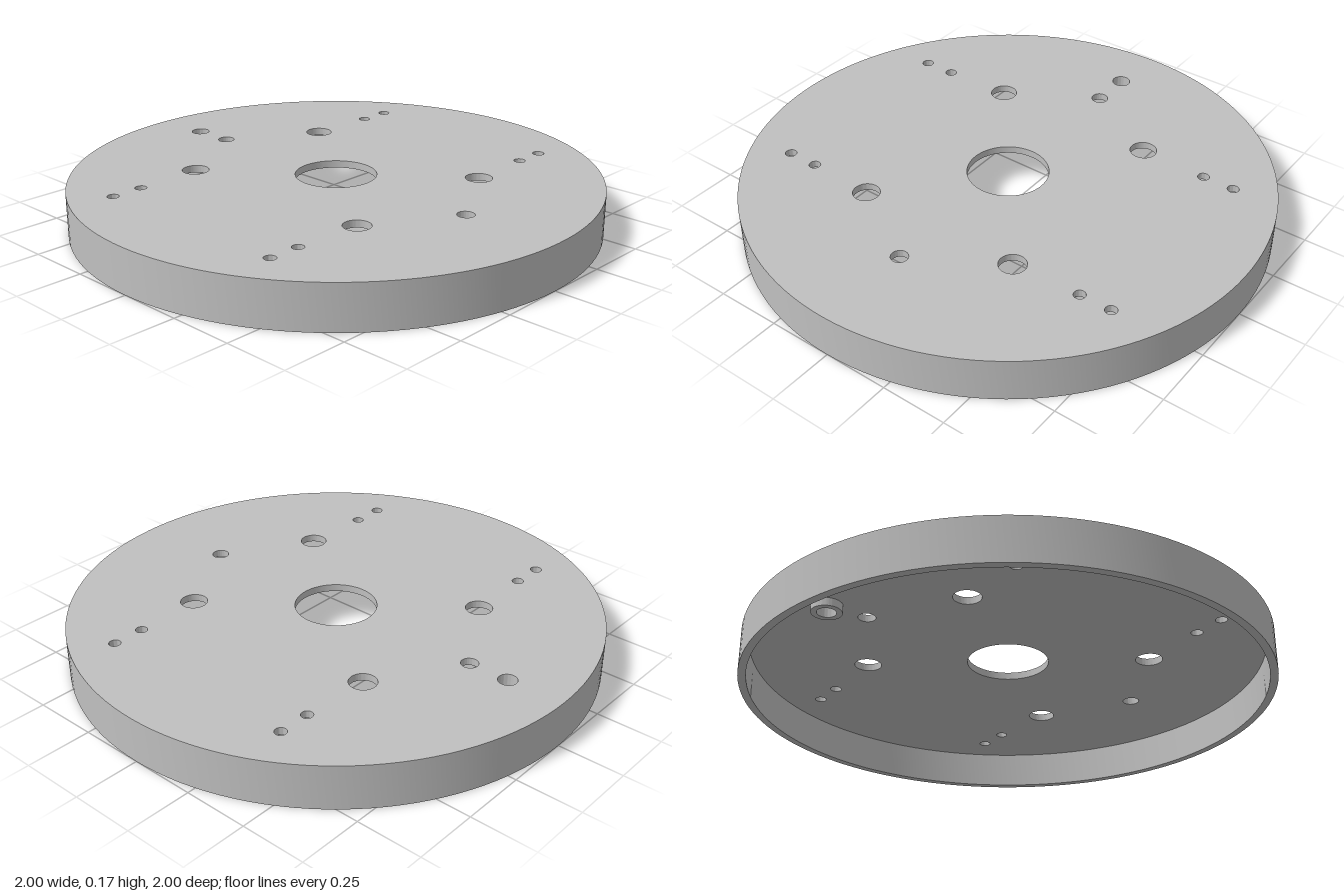
import * as THREE from 'three';
import { toCreasedNormals } from 'three/addons/utils/BufferGeometryUtils.js';

const HEIGHT = 0.17, PLATE = 0.028, INNER = 0.97;

// Flat disc with round holes, each given as [x, z, radius]
function drilledDisc(x, z, radius, holes, depth, segments) {
  const shape = new THREE.Shape();
  shape.absarc(x, -z, radius, 0, Math.PI * 2, false);
  for (const [hx, hz, r] of holes) {
    const hole = new THREE.Path();
    hole.absarc(hx, -hz, r, 0, Math.PI * 2, true);
    shape.holes.push(hole);
  }
  const geometry = new THREE.ExtrudeGeometry(shape, { depth, bevelEnabled: false, curveSegments: segments });
  geometry.rotateX(-Math.PI / 2);
  return toCreasedNormals(geometry, 0.6);
}

export function createModel() {
  const group = new THREE.Group();
  group.name = 'drilledCover';
  const metal = new THREE.MeshStandardMaterial({ color: 0xc0c0c0 });
  metal.name = 'light grey metal';

  const add = (name, geometry, y = 0) => {
    const mesh = new THREE.Mesh(geometry, metal);
    mesh.name = name;
    mesh.position.y = y;
    group.add(mesh);
  };

  // Hole pattern: centre bore, three holes on the z axis, mirrored sets at the sides
  const bossHole = [0, -0.78, 0.035];
  const holes = [[0, 0, 0.154], bossHole, [0, -0.62, 0.032], [0, 0.62, 0.032]];
  for (const sx of [-1, 1]) {
    for (const sz of [-1, 1]) {
      holes.push([sx * 0.335, sz * 0.418, 0.051]);
      holes.push([sx * 0.605, sz * 0.408, 0.022]);
      holes.push([sx * 0.73, sz * 0.408, 0.022]);
    }
  }
  add('topPlate', drilledDisc(0, 0, INNER, holes, PLATE, 64), HEIGHT - PLATE);

  // Thin skirt around the plate, open below
  const profile = [[INNER, 0], [1, 0], [1, HEIGHT], [INNER, HEIGHT], [INNER, 0]]
    .map(([r, y]) => new THREE.Vector2(r, y));
  add('outerRim', toCreasedNormals(new THREE.LatheGeometry(profile, 128), 0.6));

  // Short collar under the rear hole
  add('rearHoleCollar', drilledDisc(0, -0.78, 0.056, [bossHole], 0.03, 64), HEIGHT - PLATE - 0.03);

  return group;
}
